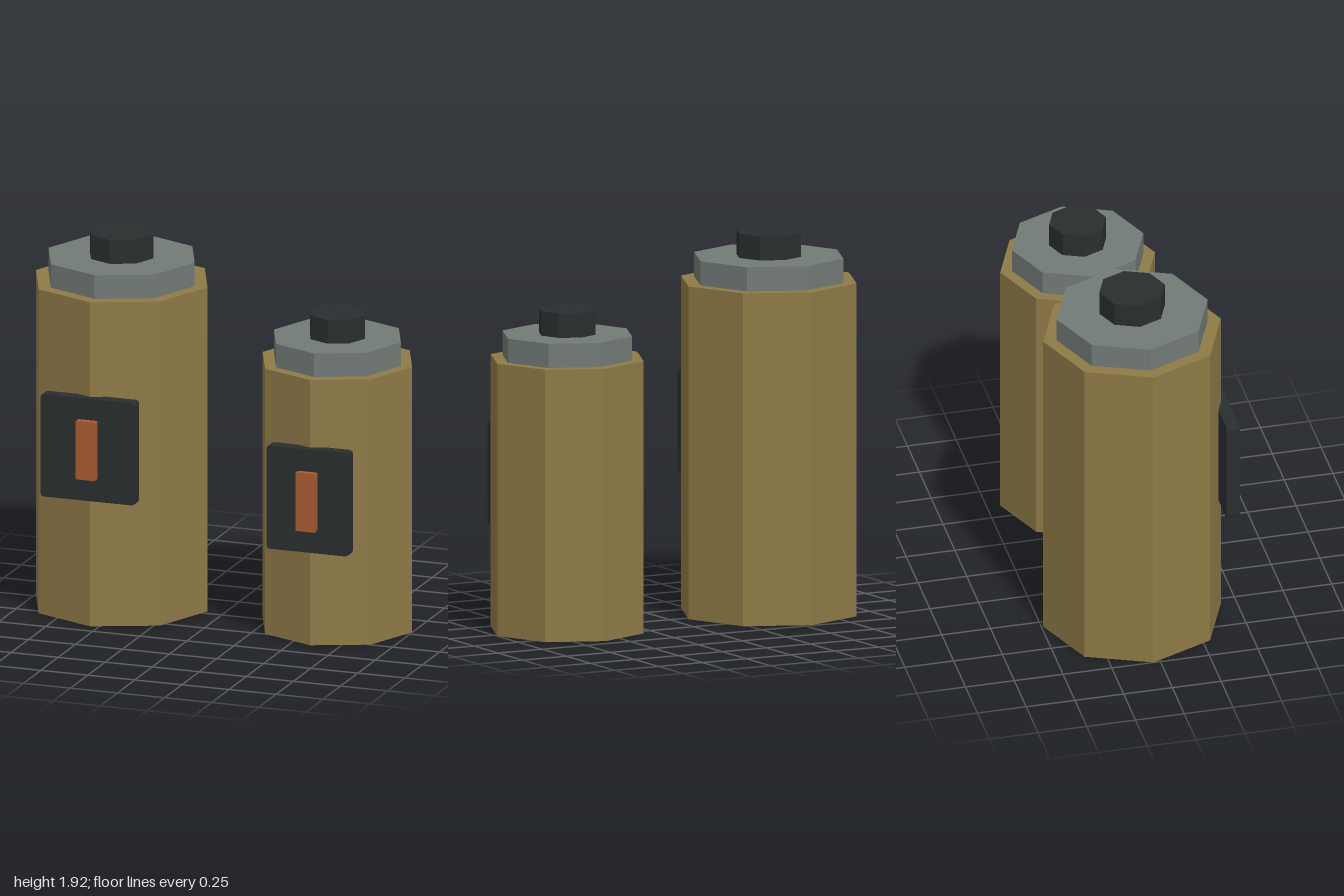
import * as THREE from 'three';

const paint = (color) => new THREE.MeshStandardMaterial({ color, flatShading: true });
const brass = paint(0x8f7a47);
const steel = paint(0x727a76);
const dark = paint(0x2a2e2f);
const copper = paint(0xa85c34);

// Eight-sided drum standing on y0, with a corner facing front
function drum(name, radius, y0, y1, material) {
  const mesh = new THREE.Mesh(new THREE.CylinderGeometry(radius, radius, y1 - y0, 8), material);
  mesh.name = name;
  mesh.position.y = (y0 + y1) / 2;
  return mesh;
}

// Upright plate with slightly rounded corners, from z0 to z1
function plate(name, w, y0, y1, z0, z1, r, material) {
  const x = w / 2;
  const s = new THREE.Shape();
  s.moveTo(-x + r, y0);
  s.lineTo(x - r, y0);
  s.quadraticCurveTo(x, y0, x, y0 + r);
  s.lineTo(x, y1 - r);
  s.quadraticCurveTo(x, y1, x - r, y1);
  s.lineTo(-x + r, y1);
  s.quadraticCurveTo(-x, y1, -x, y1 - r);
  s.lineTo(-x, y0 + r);
  s.quadraticCurveTo(-x, y0, -x + r, y0);
  const geometry = new THREE.ExtrudeGeometry(s, { depth: z1 - z0, bevelEnabled: false, curveSegments: 2 });
  const mesh = new THREE.Mesh(geometry, material);
  mesh.name = name;
  mesh.position.z = z0;
  return mesh;
}

// One canister; plate depths are measured from its axis
function canister(name, c) {
  const group = new THREE.Group();
  group.name = name;
  group.add(
    drum('body', c.body, 0, c.top, brass),
    drum('collar', c.collar, c.top, c.top + 0.122, steel),
    drum('cap', c.cap, c.top + 0.122, c.top + 0.245, dark),
    plate('panel', c.panelW, c.panelY[0], c.panelY[1], c.panelZ, c.panelZ + 0.067, 0.018, dark),
    plate('indicator', 0.105, c.lightY[0], c.lightY[1], c.panelZ + 0.06, c.panelZ + 0.097, 0.006, copper)
  );
  group.position.set(c.x, 0, -0.035);
  return group;
}

export function createModel() {
  const model = new THREE.Group();
  model.name = 'canisterPair';
  model.add(
    canister('largeCanister', {
      x: -0.544, body: 0.456, collar: 0.388, cap: 0.168, top: 1.68,
      panelW: 0.5, panelY: [0.66, 1.19], panelZ: 0.425, lightY: [0.775, 1.08],
    }),
    canister('smallCanister', {
      x: 0.602, body: 0.397, collar: 0.337, cap: 0.146, top: 1.375,
      panelW: 0.434, panelY: [0.49, 1.025], panelZ: 0.365, lightY: [0.605, 0.91],
    })
  );
  return model;
}
